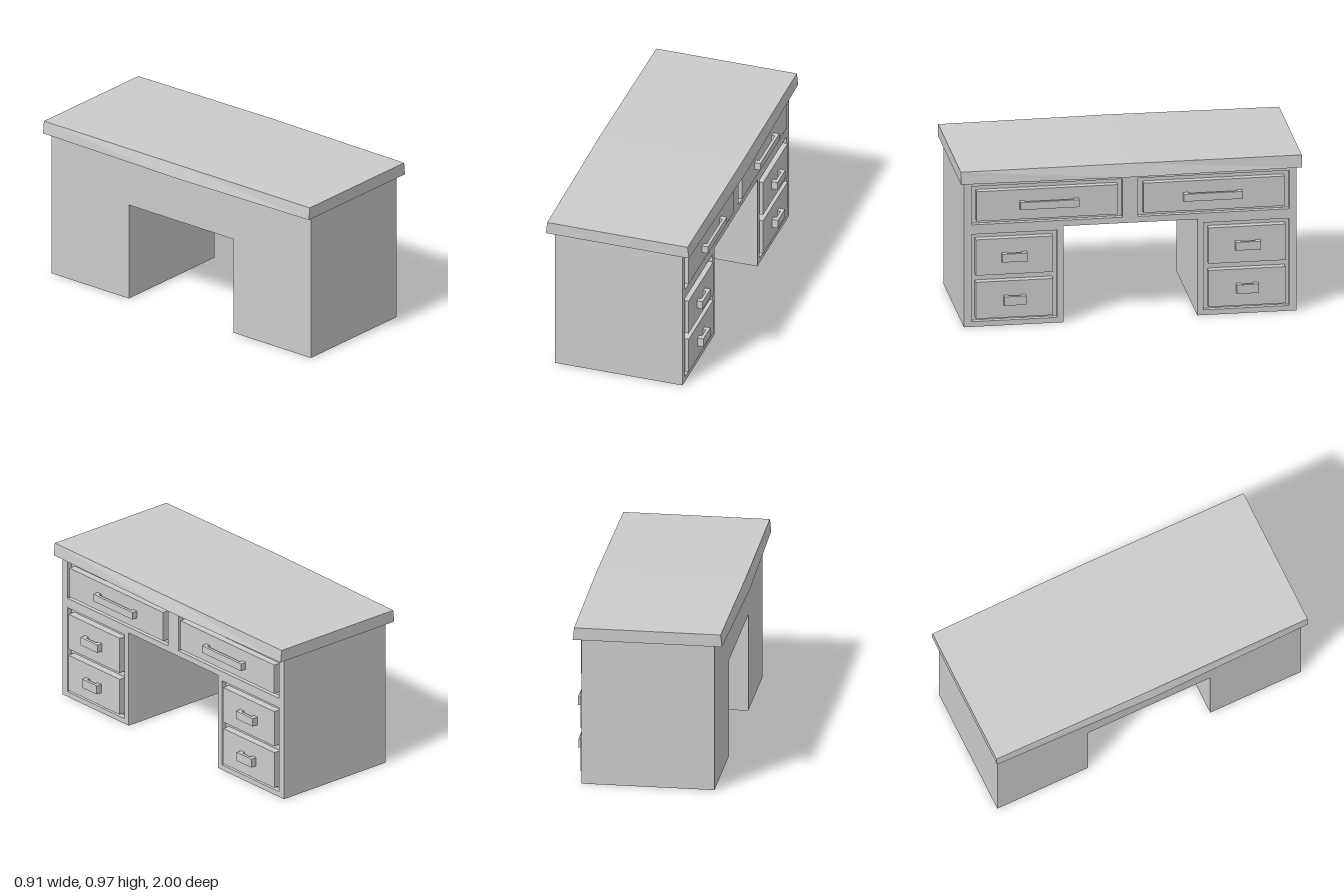
import * as THREE from 'three';

const material = new THREE.MeshStandardMaterial({ color: 0xcccccc, flatShading: true });

const FRONT = 0.39;   // x of the drawer side
const RECESS = 0.03;  // depth of the drawer openings

function addMesh(parent, name, geometry) {
  const mesh = new THREE.Mesh(geometry, material);
  mesh.name = name;
  parent.add(mesh);
  return mesh;
}

// Extrudes a (-z, y) outline along x, from x0 to x1
function extrudeAlongX(shape, x0, x1) {
  const geometry = new THREE.ExtrudeGeometry(shape, { depth: x1 - x0, bevelEnabled: false });
  return geometry.rotateY(Math.PI / 2).translate(x0, 0, 0);
}

function outline(points, Type = THREE.Shape) {
  return new Type(points.map(([z, y]) => new THREE.Vector2(-z, y)));
}

const rect = (z0, z1, y0, y1) => [[z0, y0], [z1, y0], [z1, y1], [z0, y1]];

// Arch-shaped body: two pedestals joined over the knee space
const bodyOutline = () => outline([
  [0.976, 0], [0.393, 0], [0.393, 0.59], [-0.393, 0.59],
  [-0.393, 0], [-0.976, 0], [-0.976, 0.892], [0.976, 0.892],
]);

// U-shaped pull: a bar on two feet, seen in plan and extruded upwards
function pullGeometry(length, depth, height) {
  const h = length / 2, foot = 0.03, inner = depth * 0.5;
  const shape = new THREE.Shape([
    [0, -h], [depth, -h], [depth, h], [0, h],
    [0, h - foot], [inner, h - foot], [inner, foot - h], [0, foot - h],
  ].map(([x, z]) => new THREE.Vector2(x, z)));
  return new THREE.ExtrudeGeometry(shape, { depth: height, bevelEnabled: false })
    .rotateX(-Math.PI / 2).translate(0, -height / 2, 0);
}

// Drawer front with its pull
function addDrawer(parent, name, side, d) {
  const drawer = new THREE.Group();
  drawer.name = name;
  const back = FRONT - RECESS;
  const panel = addMesh(drawer, 'drawerFront',
    new THREE.BoxGeometry(d.face - back, d.y1 - d.y0, d.z1 - d.z0));
  panel.position.set((d.face + back) / 2, (d.y0 + d.y1) / 2, side * (d.z0 + d.z1) / 2);
  const pull = addMesh(drawer, 'drawerPull', pullGeometry(d.pull, 0.036, d.pullHeight));
  pull.position.set(d.face, d.pullY, side * d.pullZ);
  parent.add(drawer);
}

// Worktop with sloping edges, widest in the middle, as three cross-sections
function worktopGeometry() {
  const sections = [
    { z: 1, bottom: 0.437, top: 0.429, y: 0.966 },
    { z: 0, bottom: 0.456, top: 0.436, y: 0.97 },
    { z: -1, bottom: 0.437, top: 0.429, y: 0.966 },
  ];
  const positions = [];
  const index = [];
  for (const s of sections) {
    positions.push(-s.bottom, 0.892, s.z, s.bottom, 0.892, s.z, s.top, s.y, s.z, -s.top, s.y, s.z);
  }
  for (let i = 0; i < sections.length - 1; i++) {
    for (let k = 0; k < 4; k++) {
      const a = i * 4 + k, b = i * 4 + (k + 1) % 4;
      index.push(a, a + 4, b, b, a + 4, b + 4);
    }
  }
  index.push(0, 1, 2, 0, 2, 3, 8, 10, 9, 8, 11, 10);
  const geometry = new THREE.BufferGeometry();
  geometry.setAttribute('position', new THREE.Float32BufferAttribute(positions, 3));
  geometry.setIndex(index);
  const flat = geometry.toNonIndexed();
  flat.computeVertexNormals();
  return flat;
}

export function createModel() {
  const desk = new THREE.Group();
  desk.name = 'desk';

  addMesh(desk, 'worktop', worktopGeometry());
  addMesh(desk, 'body', extrudeAlongX(bodyOutline(), -FRONT, FRONT - RECESS));

  // Front frame with one wide and one tall opening on each side
  const frame = bodyOutline();
  for (const side of [1, -1]) {
    for (const r of [rect(0.046, 0.933, 0.626, 0.861), rect(0.429, 0.932, 0.032, 0.567)]) {
      frame.holes.push(outline(r.map(([z, y]) => [side * z, y]), THREE.Path));
    }
  }
  addMesh(desk, 'drawerFrame', extrudeAlongX(frame, FRONT - RECESS, FRONT));

  // Drawers, mirrored from one half to the other
  const drawers = {
    topDrawer: { z0: 0.076, z1: 0.903, y0: 0.65, y1: 0.832, face: 0.402,
      pull: 0.345, pullHeight: 0.045, pullY: 0.741, pullZ: 0.479 },
    middleDrawer: { z0: 0.456, z1: 0.908, y0: 0.318, y1: 0.538, face: 0.405,
      pull: 0.147, pullHeight: 0.05, pullY: 0.428, pullZ: 0.685 },
    bottomDrawer: { z0: 0.456, z1: 0.908, y0: 0.053, y1: 0.277, face: 0.405,
      pull: 0.13, pullHeight: 0.054, pullY: 0.164, pullZ: 0.682 },
  };
  for (const side of [1, -1]) {
    for (const [name, d] of Object.entries(drawers)) addDrawer(desk, name, side, d);
  }
  return desk;
}
